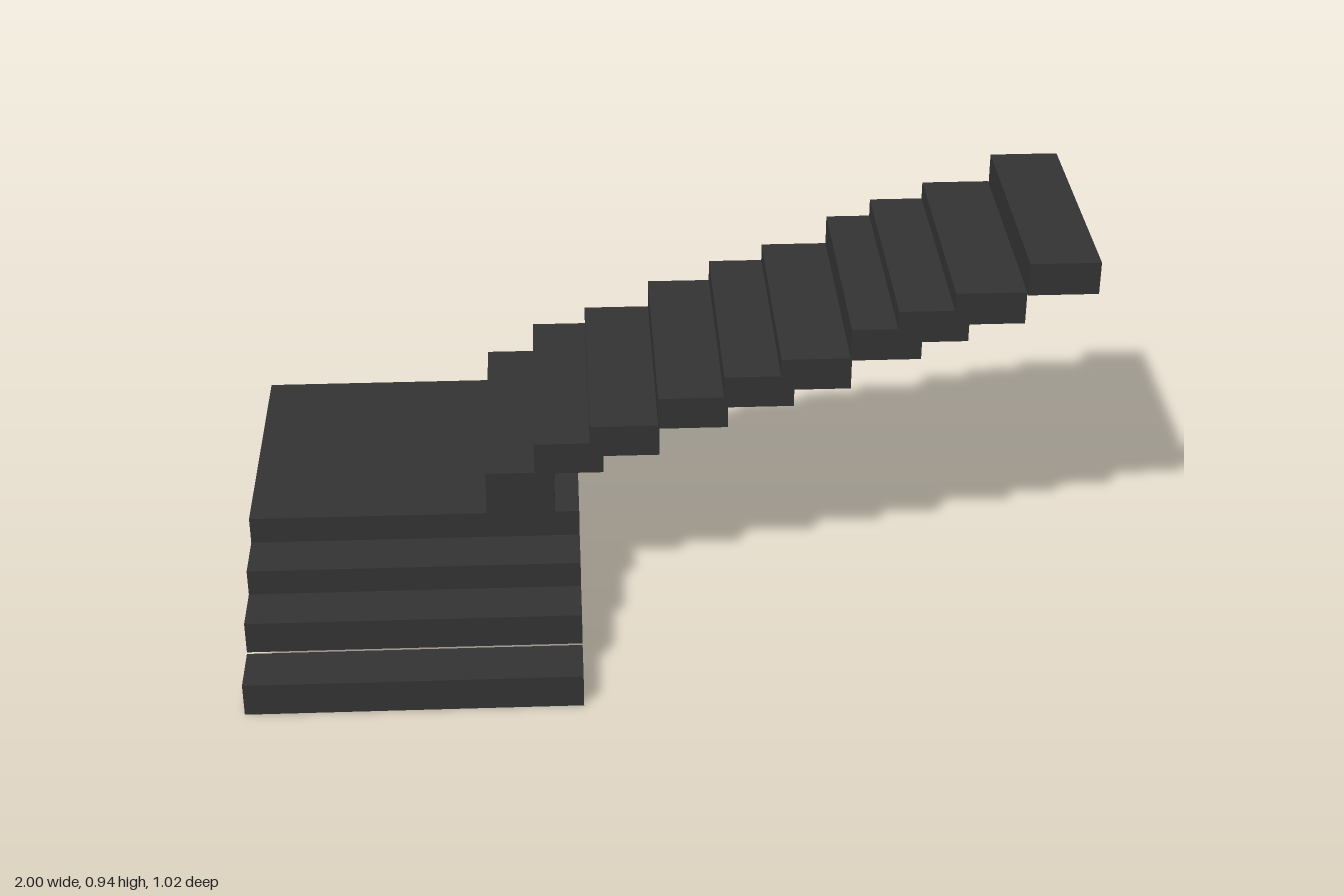
import * as THREE from 'three';

const material = new THREE.MeshStandardMaterial({ color: 0x333333, flatShading: true });

// Box given by its limits on each axis
function slab(name, [x0, x1], [y0, y1], [z0, z1]) {
  const mesh = new THREE.Mesh(new THREE.BoxGeometry(x1 - x0, y1 - y0, z1 - z0), material);
  mesh.name = name;
  mesh.position.set((x0 + x1) / 2, (y0 + y1) / 2, (z0 + z1) / 2);
  return mesh;
}

export function createModel() {
  const model = new THREE.Group();
  model.name = 'staircase';

  // Lower flight: three treads rising towards the back
  const lower = new THREE.Group();
  lower.name = 'lowerFlight';
  const lowerSteps = [[0.508, 0, 0.083], [0.38, 0.086, 0.167], [0.258, 0.152, 0.233]]; // front z, bottom, top
  lowerSteps.forEach(([z, y0, y1], i) =>
    lower.add(slab(`lowerStep${i + 1}`, [-1, -0.21], [y0, y1], [z - 0.126, z])));
  model.add(lower);

  // Landing between the flights
  model.add(slab('landing', [-1, -0.21], [0.22, 0.301], [-0.508, 0.135]));

  // Upper flight: unevenly spaced treads rising to the left
  const upper = new THREE.Group();
  upper.name = 'upperFlight';
  const zRange = [-0.455, 0.14];
  upper.add(slab('bottomStep', [-0.432, -0.268], [0.288, 0.415], zRange));
  const upperSteps = [ // starting x, top y
    [-0.315, 0.493], [-0.182, 0.538], [-0.02, 0.61], [0.135, 0.664], [0.268, 0.708],
    [0.43, 0.783], [0.538, 0.828], [0.668, 0.872], [0.835, 0.945],
  ];
  upperSteps.forEach(([x, y], i) =>
    upper.add(slab(`upperStep${i + 1}`, [x, x + 0.165], [y - 0.081, y], zRange)));
  model.add(upper);

  return model;
}
